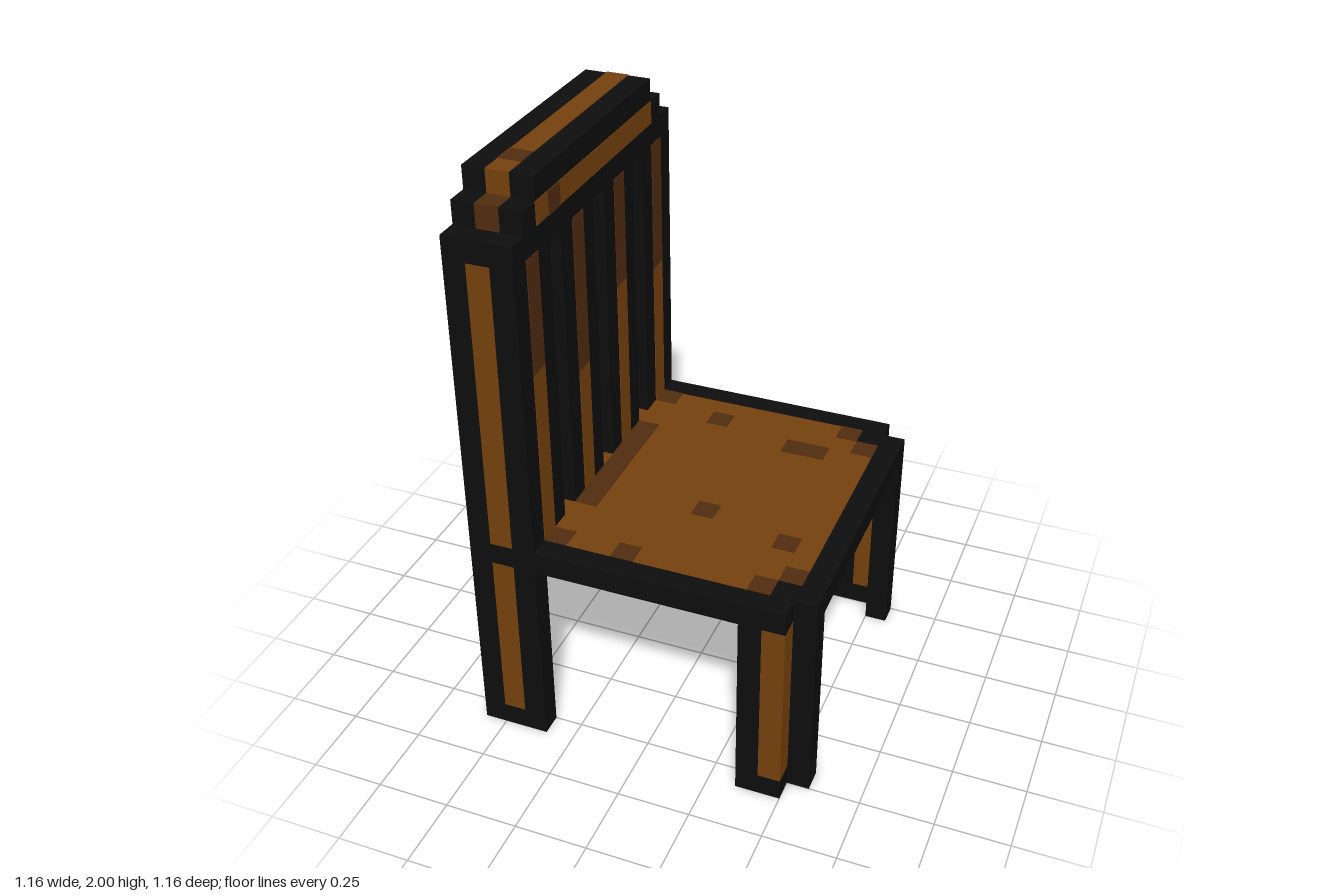
import * as THREE from 'three';

const U = 1 / 13;   // one block of the grid the chair is laid out on
const E = 0.03;     // how far painted faces stand proud, in blocks

const outline = new THREE.MeshStandardMaterial({ color: 0x0d0d0d });
outline.name = 'black outline';
const wood = new THREE.MeshStandardMaterial({ color: 0x74400d });
wood.name = 'brown wood';
const knot = new THREE.MeshStandardMaterial({ color: 0x502c10 });
knot.name = 'dark wood';

// Box between two corners given in blocks: x 0..15, y 0..26, z 0..15
function block(parent, name, mat, x0, x1, y0, y1, z0, z1) {
  const geo = new THREE.BoxGeometry((x1 - x0) * U, (y1 - y0) * U, (z1 - z0) * U);
  const mesh = new THREE.Mesh(geo, mat);
  mesh.name = name;
  mesh.position.set(((x0 + x1) / 2 - 7.5) * U, ((y0 + y1) / 2) * U, ((z0 + z1) / 2 - 7.5) * U);
  parent.add(mesh);
}

function part(parent, name) {
  const g = new THREE.Group();
  g.name = name;
  parent.add(g);
  return g;
}

export function createModel() {
  const model = new THREE.Group();
  model.name = 'chair';

  // Legs: thin angled shells, the same on both sides
  for (const side of [0, 1]) {
    const leg = (g, name, mat, x, z, y0 = 0, y1 = 9) => {
      const zz = side ? z : 14 - z;
      block(g, name, mat, x, x + 1, y0, y1, zz, zz + 1);
    };
    const back = part(model, 'backLeg');
    for (const [x, z] of [[0, 14], [2, 14], [0, 12]]) leg(back, 'legEdge', outline, x, z);
    for (const [x, z] of [[1, 14], [0, 13]]) {
      leg(back, 'legFoot', outline, x, z, 0, 1);
      leg(back, 'legPanel', wood, x, z, 1);
    }
    const front = part(model, 'frontLeg');
    for (const [x, z] of [[12, 14], [14, 13]]) leg(front, 'legEdge', outline, x, z);
    leg(front, 'legFoot', outline, 13, 14, 0, 1);
    leg(front, 'legPanel', wood, 13, 14, 1);
  }

  // Seat: frame, panel and knots that show above and below
  const seat = part(model, 'seat');
  block(seat, 'seatFrameBack', outline, 0, 1, 9, 10, 0, 15);
  block(seat, 'seatFrameFront', outline, 14, 15, 9, 10, 1, 14);
  for (const z of [0, 14]) block(seat, 'seatFrameSide', outline, 1, 14, 9, 10, z, z + 1);
  for (const z of [1, 13]) block(seat, 'seatFrameCorner', outline, 13, 14, 9 - E, 10 + E, z, z + 1);
  block(seat, 'seatPanel', wood, 1, 14, 9, 10, 1, 14);
  const knots = [ // x, z, length in x, length in z
    [3, 1, 1, 1], [3, 4, 1, 7], [3, 13, 1, 1], [6, 2, 1, 1], [6, 13, 1, 1], [10, 3, 2, 1],
    [12, 1, 1, 1], [13, 2, 1, 1], [8, 9, 1, 1], [12, 10, 1, 1], [13, 12, 1, 1], [12, 13, 1, 1],
  ];
  for (const [x, z, w, d] of knots) {
    block(seat, 'seatKnot', knot, x, x + w, 9 - E, 10 + E, z, z + d);
  }

  // Backrest uprights: start block in z, and the height where the wood darkens
  const rest = part(model, 'backrest');
  for (const [z, shade] of [[0, 17], [4, 18], [8, 16], [12, 18]]) {
    block(rest, 'upright', outline, 0, 3, 10, 23, z, z + 3);
    block(rest, 'uprightBackPanel', wood, -E, 0, 10, 23, z + 1, z + 2);
    block(rest, 'uprightFrontPanel', wood, 3, 3 + E, 10, shade, z + 1, z + 2);
    block(rest, 'uprightFrontShade', knot, 3, 3 + E, shade, 23, z + 1, z + 2);
  }
  block(rest, 'rightSidePanel', wood, 1, 2, 10, 23, -E, 0);
  block(rest, 'leftSidePanel', wood, 1, 2, 10, 23, 15, 15 + E);

  // Stepped top rail
  const rail = part(model, 'topRail');
  for (const s of [0, 1, 2]) block(rail, 'railStep', outline, 0, 3, 23 + s, 24 + s, s, 15 - s);
  block(rail, 'railPanel', wood, -E, 3 + E, 24, 25, 2, 13);
  block(rail, 'railPanelShade', knot, 2, 3 + 2 * E, 24, 25, 11, 12);
  block(rail, 'railLowerInlay', wood, 1, 2, 24, 25 + E, 1 - E, 13);
  block(rail, 'railEndShade', knot, 1, 2, 24, 25 + E, 13, 14 + E);
  block(rail, 'railUpperInlay', wood, 1, 2, 25, 26 + E, 2 - E, 13 + E);
  block(rail, 'railTopShade', knot, 1, 2, 25, 26 + 2 * E, 11, 12);

  return model;
}
